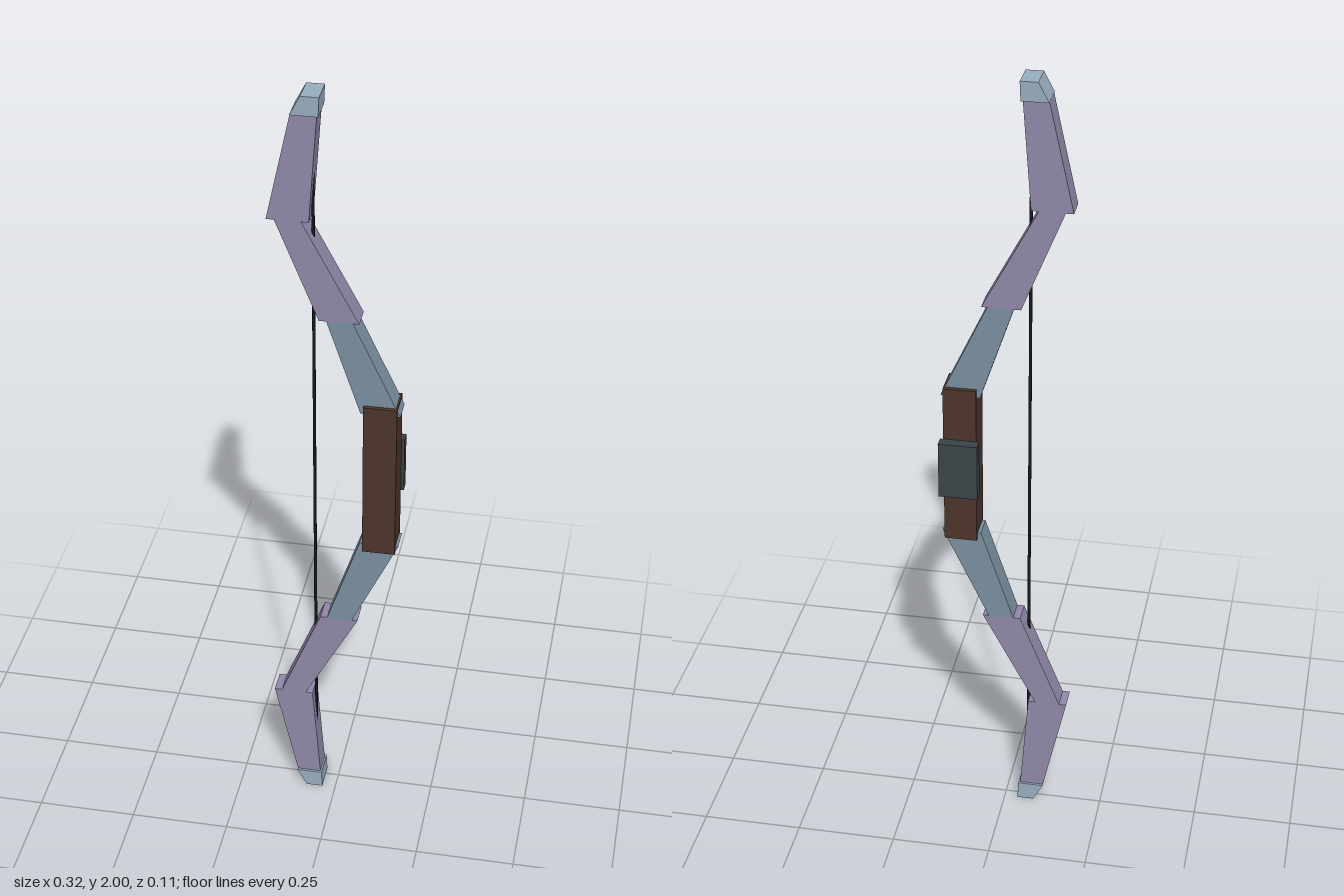
import * as THREE from 'three';

const mat = (name, color) => {
  const m = new THREE.MeshStandardMaterial({ color });
  m.name = name;
  return m;
};

const MID_Z = 0.014; // centre plane of the bow

export function createModel() {
  const lilac = mat('lilac limb', 0x9088a8);
  const steel = mat('blue grey riser', 0x7a8fa0);
  const pale = mat('pale tip', 0x98adbd);
  const brown = mat('brown grip', 0x4c352b);
  const slate = mat('dark slate rest', 0x3a4449);
  const black = mat('black string', 0x15191b);

  const group = new THREE.Group();
  group.name = 'bow';

  const add = (name, geometry, material) => {
    const mesh = new THREE.Mesh(geometry, material);
    mesh.name = name;
    group.add(mesh);
    return mesh;
  };

  // Tapered bar between two heights, each with its own x range
  const bar = (name, material, depth, y0, [a0, b0], y1, [a1, b1], flip) => {
    const h = (y) => (flip ? 2 - y : y);
    const shape = new THREE.Shape([
      new THREE.Vector2(a0, h(y0)), new THREE.Vector2(b0, h(y0)),
      new THREE.Vector2(b1, h(y1)), new THREE.Vector2(a1, h(y1)),
    ]);
    const g = new THREE.ExtrudeGeometry(shape, { depth, bevelEnabled: false });
    g.translate(0, 0, MID_Z - depth / 2);
    add(name, g, material);
  };

  const box = (name, material, x0, x1, y0, y1, z0, z1) =>
    add(name, new THREE.BoxGeometry(x1 - x0, y1 - y0, z1 - z0), material)
      .position.set((x0 + x1) / 2, (y0 + y1) / 2, (z0 + z1) / 2);

  // Upper and lower arms, mirrored about mid height
  for (const [side, flip] of [['upper', false], ['lower', true]]) {
    bar(`${side}Riser`, steel, 0.06, 1.19, [0.061, 0.157], 1.435, [-0.021, 0.042], flip);
    bar(`${side}InnerLimb`, lilac, 0.06, 1.434, [-0.038, 0.057], 1.69, [-0.141, -0.079], flip);
    bar(`${side}OuterLimb`, lilac, 0.06, 1.688, [-0.159, -0.06], 1.955, [-0.1, -0.04], flip);
    bar(`${side}Tip`, pale, 0.072, 1.953, [-0.101, -0.036], 2, [-0.076, -0.034], flip);
  }

  // Handle and the block behind it
  box('grip', brown, 0.069, 0.15, 0.793, 1.213, -0.027, 0.054);
  box('arrowRest', slate, 0.061, 0.157, 0.93, 1.077, -0.057, -0.03);

  // String, its ends buried in the outer limbs
  const string = add('string', new THREE.CylinderGeometry(0.004, 0.004, 1.84, 6), black);
  string.position.set(-0.055, 1, 0.017);

  return group;
}
